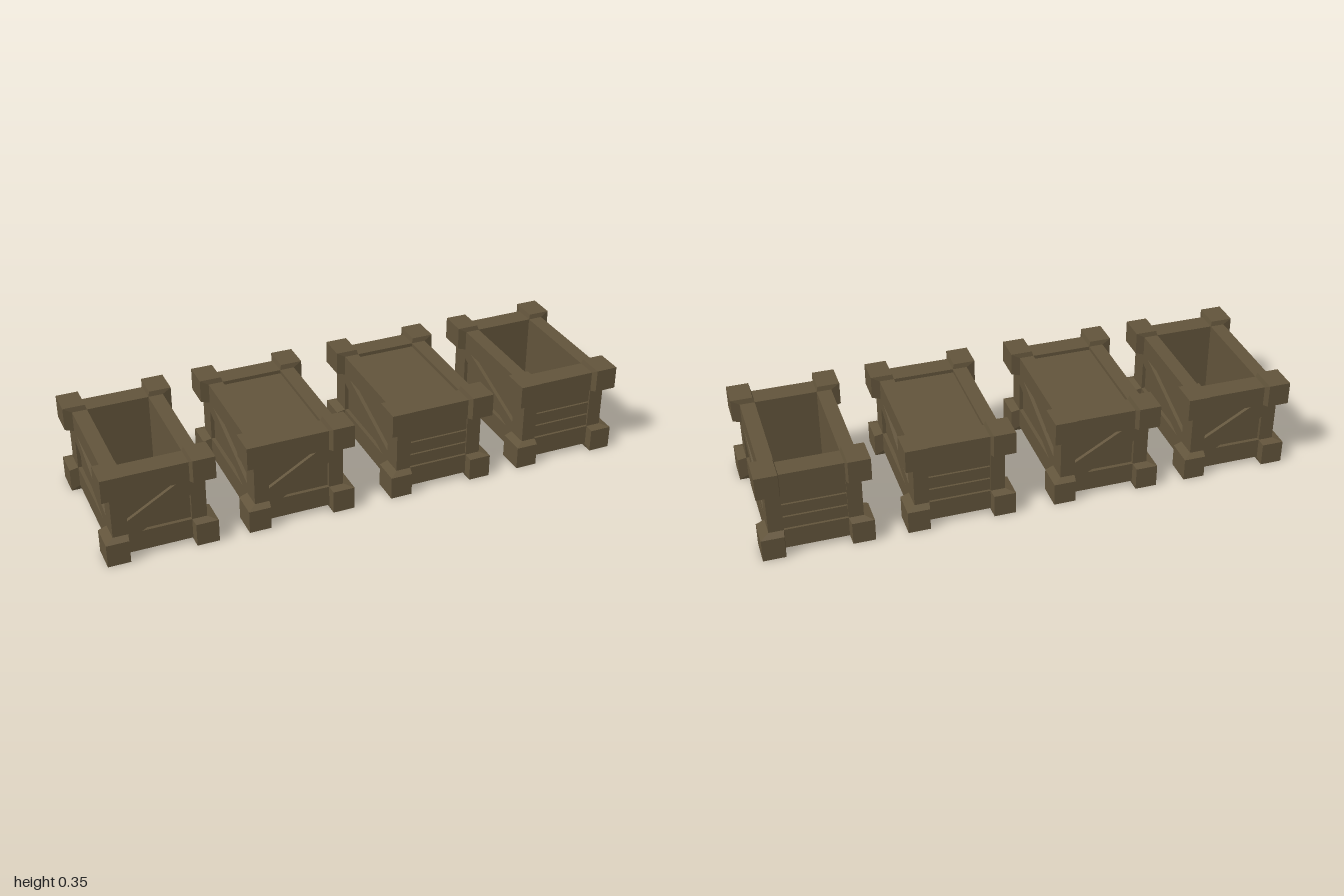
import * as THREE from 'three';
import { ConvexGeometry } from 'three/addons/geometries/ConvexGeometry.js';

// Half sizes of a crate body, its openings, and the frame thickness
const BX = 0.17, BY = 0.157, BZ = 0.28;
const HX = 0.115, HY = 0.079, HZ = 0.2;
const T = 0.014;

const wood = new THREE.MeshStandardMaterial({ color: 0x62543b });
wood.name = 'brown wood';

function add(parent, name, geometry) {
  const mesh = new THREE.Mesh(geometry, wood);
  mesh.name = name;
  parent.add(mesh);
  return mesh;
}

const rect = (w, h) => [[-w, -h], [w, -h], [w, h], [-w, h]];
const toPoints = list => list.map(([x, y]) => new THREE.Vector2(x, y));

// Flat plate with cut-outs, facing +z
function plate(outline, holes, depth) {
  const shape = new THREE.Shape(toPoints(outline));
  holes.forEach(h => shape.holes.push(new THREE.Path(toPoints(h))));
  return new THREE.ExtrudeGeometry(shape, { depth, bevelEnabled: false });
}

// Two triangular cut-outs that leave a diagonal brace; the second is the first turned half way
function braceHoles(w, run, drop, dir) {
  const upper = [[-w * dir, HY], [run * dir, HY], [-w * dir, HY - drop]];
  return [upper, upper.map(([x, y]) => [-x, -y])];
}

// Corner block that flares slightly towards the body
function cornerBlock(sx, sy, sz) {
  const outer = [0.2025, 0.1755, 0.309];
  const inner = [0.12, 0.088, 0.204];
  const body = [BX, BY, BZ];
  const foot = [HX, HY, HZ];
  const points = [];
  for (let i = 0; i < 8; i++) {
    const pick = (a, b) => [0, 1, 2].map(k => ((i >> k) & 1 ? a[k] : b[k]));
    if (i > 0) points.push(pick(outer, inner));
    if (i > 0 && i < 7) points.push(pick(body, foot));
  }
  return new ConvexGeometry(points.map(([x, y, z]) => new THREE.Vector3(x * sx, y * sy, z * sz)));
}

function crate(name, open, slatted) {
  const group = new THREE.Group();
  group.name = name;

  // Core: a solid box, or four walls and a floor
  const cx = BX - T, cy = BY - T, cz = BZ - T;
  if (open) {
    const walls = add(group, 'walls', plate(rect(cx, cz), [rect(HX, HZ)], 2 * cy));
    walls.rotation.x = -Math.PI / 2;
    walls.position.y = -cy;
    const floor = add(group, 'floor', new THREE.BoxGeometry(2 * HX, 0.02, 2 * HZ));
    floor.position.y = -cy + 0.01;
  } else {
    add(group, 'core', new THREE.BoxGeometry(2 * cx, 2 * cy, 2 * cz));
  }

  for (const turn of [0, Math.PI]) {
    // Short ends, braced or slatted
    const end = new THREE.Group();
    end.name = 'end';
    end.rotation.y = turn;
    group.add(end);
    const endHoles = slatted ? [rect(HX, HY)] : braceHoles(HX, 0.065, 0.105, 1);
    add(end, 'endFrame', plate(rect(cx, BY), endHoles, T)).position.z = cz;
    if (slatted) {
      for (let i = -1; i <= 1; i++) {
        const slat = add(end, 'slat', new THREE.BoxGeometry(2 * HX, 0.047, 0.008));
        slat.position.set(0, i * 0.053, cz + 0.004);
      }
    }

    // Long sides with a diagonal brace
    const side = new THREE.Group();
    side.name = 'side';
    side.rotation.y = turn + Math.PI / 2;
    group.add(side);
    add(side, 'sideFrame', plate(rect(BZ, BY), braceHoles(HZ, 0.155, 0.118, -1), T)).position.z = cx;

    // Top and bottom frames
    const cap = new THREE.Group();
    cap.name = turn ? 'bottom' : 'top';
    cap.rotation.x = turn - Math.PI / 2;
    group.add(cap);
    add(cap, 'rimFrame', plate(rect(cx, cz), [rect(HX, HZ)], T)).position.z = cy;
  }

  for (const sx of [-1, 1])
    for (const sy of [-1, 1])
      for (const sz of [-1, 1]) add(group, 'cornerBlock', cornerBlock(sx, sy, sz));
  return group;
}

export function createModel() {
  const model = new THREE.Group();
  model.name = 'crates';
  const row = [
    ['openBracedCrate', -0.7975, true, false],
    ['closedBracedCrate', -0.28, false, false],
    ['closedSlattedCrate', 0.273, false, true],
    ['openSlattedCrate', 0.7975, true, true],
  ];
  for (const [name, x, open, slatted] of row) {
    const c = crate(name, open, slatted);
    c.position.set(x, 0.1755, 0);
    model.add(c);
  }
  return model;
}
